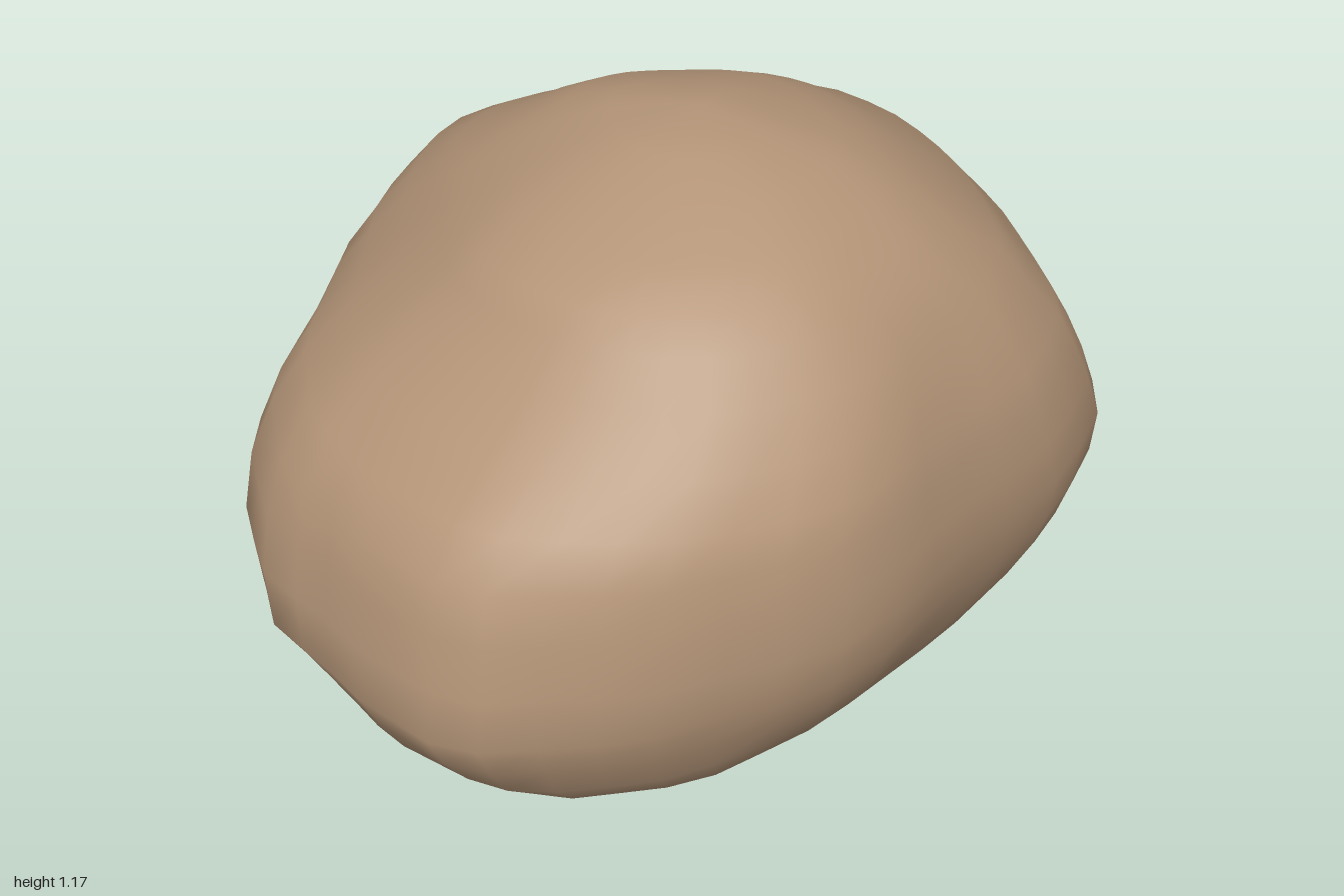
import * as THREE from 'three';

// Outlines seen from above, as [x, z] points
const BELLY = [
  [-0.04, -0.73], [0.25, -0.68], [0.35, -0.68], [0.6, -0.59], [0.83, -0.42], [0.95, -0.28], [1, -0.12],
  [0.96, 0.1], [0.83, 0.32], [0.62, 0.58], [0.52, 0.66], [0.3, 0.725], [0.05, 0.705], [-0.3, 0.72],
  [-0.46, 0.68], [-0.58, 0.6], [-0.75, 0.51], [-0.96, 0.29], [-1, 0.2], [-1, 0], [-0.94, -0.28],
  [-0.77, -0.49], [-0.58, -0.58], [-0.4, -0.66],
];
const FOOT = [
  [0.84, 0.04], [0.77, 0.27], [0.6, 0.46], [0.4, 0.53], [0.1, 0.55], [-0.26, 0.52], [-0.52, 0.45],
  [-0.72, 0.28], [-0.78, 0], [-0.73, -0.2], [-0.5, -0.4], [-0.1, -0.43], [0.15, -0.47],
  [0.42, -0.43], [0.68, -0.27], [0.8, -0.1],
];

// Height, then the reach in -x, +x, -z and +z; the first ring lies inside the underside
const RINGS = [
  [0, -0.66, 0.72, -0.4, 0.47],
  [0, -0.78, 0.84, -0.47, 0.55],
  [0.05, -0.84, 0.9, -0.5, 0.6],
  [0.13, -0.915, 0.945, -0.55, 0.645],
  [0.22, -0.96, 0.98, -0.605, 0.685],
  [0.31, -1, 1, -0.65, 0.715],
  [0.42, -0.985, 0.98, -0.69, 0.735],
  [0.53, -0.96, 0.915, -0.71, 0.73],
  [0.63, -0.93, 0.85, -0.725, 0.715],
  [0.71, -0.86, 0.785, -0.73, 0.695],
  [0.79, -0.75, 0.69, -0.695, 0.655],
  [0.88, -0.64, 0.59, -0.62, 0.61],
  [0.95, -0.575, 0.47, -0.51, 0.55],
  [1.0, -0.53, 0.4, -0.42, 0.5],
  [1.05, -0.43, 0.32, -0.34, 0.42],
  [1.1, -0.3, 0.22, -0.25, 0.32],
  [1.135, -0.2, 0.1, -0.14, 0.2],
];
const PEAK = [-0.04, 1.168, 0.06];
const SIDES = 48;

// Stretch an outline to fill the square from -1 to 1
function normalise(points) {
  const fit = (k) => {
    const v = points.map((p) => p[k]);
    const lo = Math.min(...v), hi = Math.max(...v);
    return (x) => (2 * x - lo - hi) / (hi - lo);
  };
  const fx = fit(0), fz = fit(1);
  return points.map(([x, z]) => [fx(x), fz(z)]);
}

// Distance from the middle to the outline along one direction
function reach(points, angle) {
  const dx = Math.cos(angle), dz = Math.sin(angle);
  for (let i = 0; i < points.length; i++) {
    const [ax, az] = points[i], [bx, bz] = points[(i + 1) % points.length];
    const ex = bx - ax, ez = bz - az;
    const det = dx * ez - dz * ex;
    const t = (ax * ez - az * ex) / det;
    const s = (ax * dz - az * dx) / det;
    if (t > 0 && s >= -1e-6 && s <= 1 + 1e-6) return t;
  }
  return 1;
}

export function createModel() {
  const group = new THREE.Group();
  group.name = 'rock';
  const stone = new THREE.MeshStandardMaterial({ color: 0xb39477 });
  stone.name = 'brown stone';

  const { lerp, smoothstep } = THREE.MathUtils;
  // Soft bump in height around a centre
  const bump = (y, centre, width) => Math.exp(-(((y - centre) / width) ** 2));
  const belly = normalise(BELLY), foot = normalise(FOOT);
  const positions = [], index = [];
  const peak = RINGS.length * SIDES, bottom = peak + 1;

  // Weathered sides: foot outline below, belly in the middle, rounder crown above
  RINGS.forEach(([y, x0, x1, z0, z1], i) => {
    const low = 1 - smoothstep(y, 0, 0.27);
    const high = smoothstep(y, 0.6, 1.05);
    // Back corners bulge at the belly and slope away above
    const back = 0.065 * bump(y, 0.4, 0.2) - 0.11 * smoothstep(y, 0.5, 0.85);
    // Full front left shoulder
    const shoulder = 0.05 * bump(y, 0.85, 0.15);
    for (let j = 0; j < SIDES; j++) {
      const a = (j / SIDES) * Math.PI * 2;
      const corner = Math.sin(2 * a) ** 2;
      let r = lerp(reach(belly, a), reach(foot, a), low);
      r = lerp(r, 1, high * 0.8);
      if (a > Math.PI) r += back * corner;
      else if (a > Math.PI / 2) r += shoulder * corner;
      positions.push(
        (x0 + x1) / 2 + ((x1 - x0) / 2) * r * Math.cos(a),
        y,
        (z0 + z1) / 2 + ((z1 - z0) / 2) * r * Math.sin(a),
      );
      const k = (j + 1) % SIDES, b = i * SIDES, t = b + SIDES;
      if (i === 0) index.push(bottom, j, k);
      if (i < RINGS.length - 1) index.push(b + j, t + j, b + k, b + k, t + j, t + k);
      else index.push(b + j, peak, b + k);
    }
  });
  positions.push(...PEAK, 0, 0, 0);

  const geometry = new THREE.BufferGeometry();
  geometry.setAttribute('position', new THREE.Float32BufferAttribute(positions, 3));
  geometry.setIndex(index);
  geometry.computeVertexNormals();
  const boulder = new THREE.Mesh(geometry, stone);
  boulder.name = 'boulder';
  group.add(boulder);

  return group;
}
